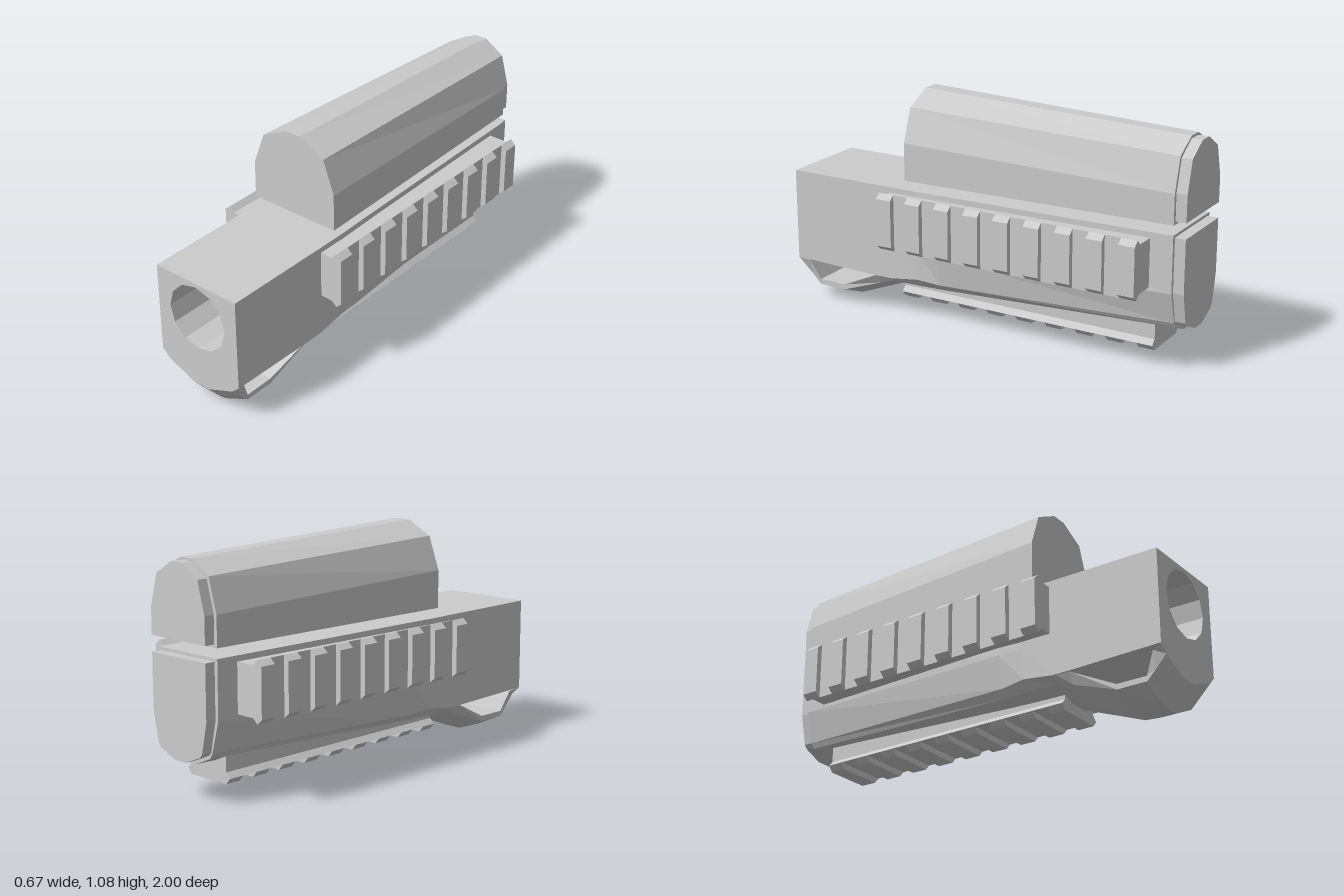
import * as THREE from 'three';

const material = new THREE.MeshStandardMaterial({ color: 0xcccccc, flatShading: true, side: THREE.DoubleSide });

function add(parent, geometry, name) {
  const mesh = new THREE.Mesh(geometry, material);
  mesh.name = name;
  parent.add(mesh);
  return mesh;
}

// Loft mirrored half profiles, running from front (+z) to back.
// Each section is [z, [[x, y], ...]] listed from top to bottom on the +x side.
function loft(sections, capFront = true) {
  const rings = sections.map(([z, half]) => [
    ...half.map(([x, y]) => [x, y, z]),
    ...half.slice().reverse().map(([x, y]) => [-x, y, z]),
  ]);
  const n = rings[0].length, pos = [];
  const tri = (a, b, c) => pos.push(...a, ...b, ...c);
  for (let s = 0; s < rings.length - 1; s++) {
    const p = rings[s], q = rings[s + 1];
    for (let i = 0; i < n; i++) {
      const j = (i + 1) % n;
      tri(p[i], p[j], q[j]);
      tri(p[i], q[j], q[i]);
    }
  }
  const first = rings[0], last = rings[rings.length - 1];
  for (let i = 1; i < n - 1; i++) {
    if (capFront) tri(first[0], first[i + 1], first[i]);
    tri(last[0], last[i], last[i + 1]);
  }
  const g = new THREE.BufferGeometry();
  g.setAttribute('position', new THREE.Float32BufferAttribute(pos, 3));
  g.computeVertexNormals();
  return g;
}

// Extrude a closed outline along z between two depths
function prism(points, zBack, zFront) {
  const shape = new THREE.Shape(points.map(([x, y]) => new THREE.Vector2(x, y)));
  const g = new THREE.ExtrudeGeometry(shape, { depth: zFront - zBack, bevelEnabled: false });
  return g.translate(0, 0, zBack);
}

// Accessory rail pointing along local +x
function makeRail(name) {
  const rail = new THREE.Group();
  rail.name = name;
  const front = 0.46, back = -0.845, toothLength = 0.077, count = 9;
  add(rail, prism([
    [0.17, -0.112], [0.285, -0.112], [0.31, -0.135],
    [0.31, 0.135], [0.285, 0.112], [0.17, 0.112],
  ], back, front), 'railBase');
  const pitch = (front - back - toothLength) / (count - 1);
  const tooth = [[0.31, -0.135], [0.337, -0.112], [0.337, 0.112], [0.31, 0.135]];
  for (let i = 0; i < count; i++) {
    const z = back + i * pitch;
    add(rail, prism(tooth, z, z + toothLength), 'railTooth');
  }
  return rail;
}

export function createModel() {
  const model = new THREE.Group();
  model.name = 'railedHousing';

  // Upper cover, tapering to the rear, with a smaller end plate
  add(model, loft([
    [0.375, [[0.04, 1.08], [0.17, 1.015], [0.227, 0.86], [0.227, 0.683]]],
    [-0.95, [[0.035, 1.037], [0.142, 0.975], [0.187, 0.822], [0.187, 0.683]]],
  ]), 'upperCover');
  const coverEnd = [[0.033, 1.025], [0.13, 0.965], [0.17, 0.82], [0.17, 0.697]];
  add(model, loft([[-0.94, coverEnd], [-1, coverEnd]]), 'upperEndPlate');

  // Lower body: square at the front, chamfered and narrower at the rear
  add(model, loft([
    [1, [[0.225, 0.638], [0.225, 0.4], [0.225, 0.2], [0.185, 0.2], [0.045, 0.2]]],
    [0.55, [[0.225, 0.638], [0.225, 0.36], [0.225, 0.19], [0.185, 0.19], [0.045, 0.19]]],
    [0.47, [[0.225, 0.638], [0.225, 0.36], [0.225, 0.19], [0.185, 0.165], [0.045, 0.12]]],
    [0.32, [[0.225, 0.638], [0.225, 0.355], [0.222, 0.21], [0.182, 0.165], [0.045, 0.123]]],
    [0.2, [[0.22, 0.638], [0.234, 0.35], [0.21, 0.2], [0.177, 0.167], [0.045, 0.127]]],
    [-0.95, [[0.187, 0.638], [0.187, 0.375], [0.147, 0.23], [0.132, 0.205], [0.04, 0.165]]],
  ], false), 'lowerBody');
  const bodyEnd = [[0.17, 0.625], [0.17, 0.375], [0.14, 0.235], [0.125, 0.218], [0.035, 0.18]];
  add(model, loft([[-0.94, bodyEnd], [-1, bodyEnd]]), 'lowerEndPlate');

  // Front face with a twelve-sided bore
  const radius = 0.158, boreY = 0.462, boreDepth = 0.5, sides = 12;
  const face = new THREE.Shape([[-0.225, 0.2], [0.225, 0.2], [0.225, 0.638], [-0.225, 0.638]]
    .map(([x, y]) => new THREE.Vector2(x, y)));
  const rim = [];
  for (let i = 0; i < sides; i++) {
    const a = (i / sides) * Math.PI * 2;
    rim.push(new THREE.Vector2(radius * Math.sin(a), boreY + radius * Math.cos(a)));
  }
  face.holes.push(new THREE.Path(rim));
  add(model, new THREE.ShapeGeometry(face), 'frontFace').position.z = 1;
  const bore = new THREE.CylinderGeometry(radius, radius, boreDepth, sides, 1, true).rotateX(Math.PI / 2);
  add(model, bore, 'boreWall').position.set(0, boreY, 1 - boreDepth / 2);
  add(model, new THREE.CircleGeometry(radius, sides), 'boreEnd').position.set(0, boreY, 1 - boreDepth);

  // Looped guard under the front: [z, top half width, top y, chamfer y, bottom y]
  add(model, loft([
    [1, 0.225, 0.2, 0.165, 0.107],
    [0.95, 0.205, 0.187, 0.11, 0.048],
    [0.905, 0.185, 0.09, 0.065, 0],
    [0.76, 0.185, 0.09, 0.065, 0.005],
    [0.55, 0.215, 0.19, 0.14, 0.088],
    [0.47, 0.225, 0.2, 0.17, 0.12],
  ].map(([z, w, top, chamfer, bottom]) => [z, [[w, top], [0.185, chamfer], [0.045, bottom]]])), 'guardLoop');

  // Rails on both sides and underneath
  const left = makeRail('leftRail');
  left.position.y = 0.5;
  const right = makeRail('rightRail');
  right.position.y = 0.5;
  right.rotation.z = Math.PI;
  const bottom = makeRail('bottomRail');
  bottom.position.y = 0.407;
  bottom.rotation.z = -Math.PI / 2;
  model.add(left, right, bottom);

  return model;
}
